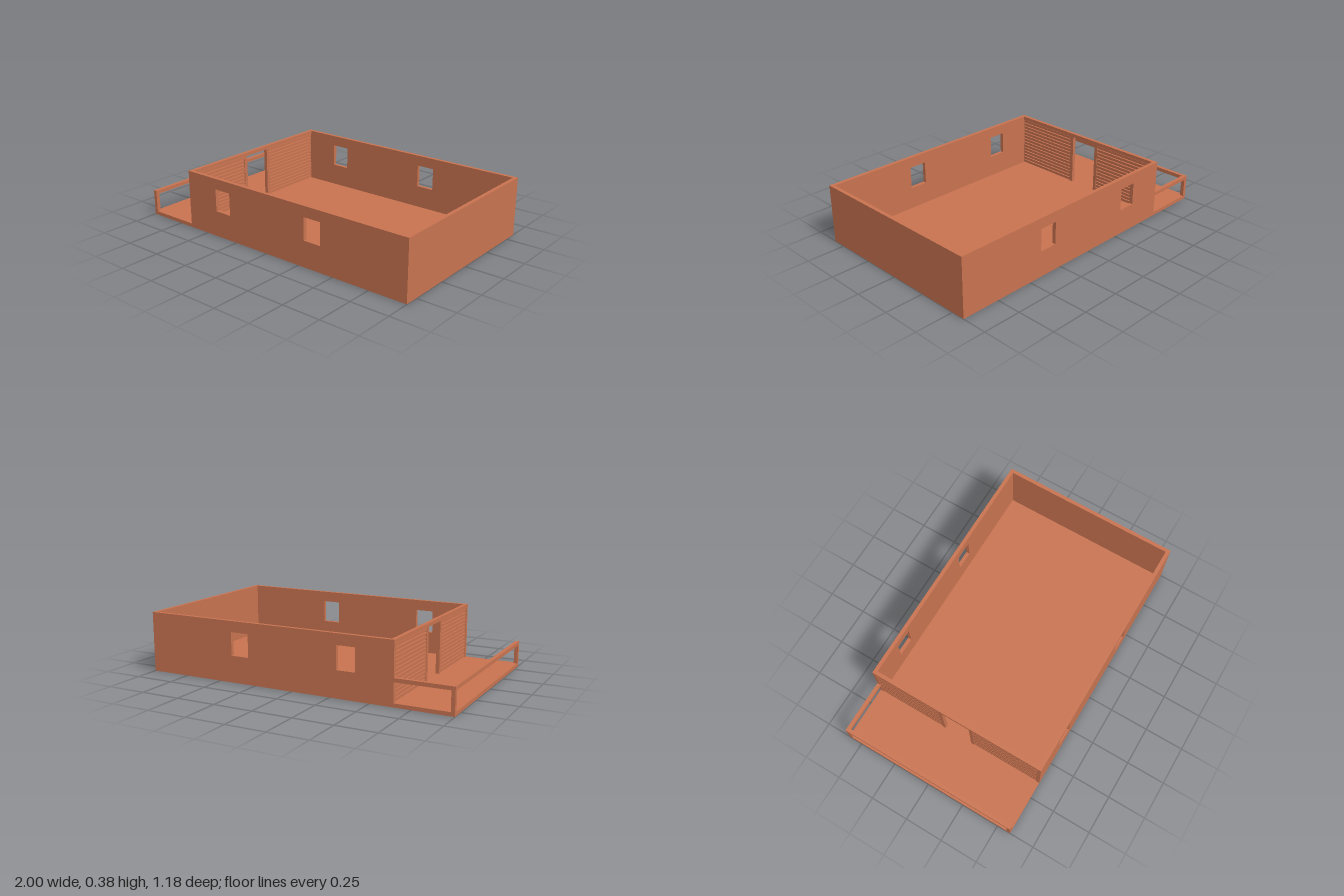
import * as THREE from 'three';

const T = 0.0235;              // wall, floor and beam thickness
const H = 0.378;               // total height
const D = 0.588;               // half depth
const HOUSE = -0.647;          // x where the porch meets the house
const RAIL = 0.166;            // top of porch railing
const DOOR = 0.118;            // half width of the doorway

const material = new THREE.MeshStandardMaterial({ color: 0xc87350 });

export function createModel() {
  const model = new THREE.Group();
  model.name = 'roofless house with porch';

  // Box given by its two opposite corners
  const box = (name, x0, x1, y0, y1, z0, z1, parent = model) => {
    const mesh = new THREE.Mesh(new THREE.BoxGeometry(x1 - x0, y1 - y0, z1 - z0), material);
    mesh.position.set((x0 + x1) / 2, (y0 + y1) / 2, (z0 + z1) / 2);
    mesh.name = name;
    parent.add(mesh);
  };

  const rectangle = (path, x0, x1, y0, y1) =>
    path.moveTo(x0, y0).lineTo(x1, y0).lineTo(x1, y1).lineTo(x0, y1).closePath();

  box('floor', -1, 1, 0, T, -D, D);

  // Long walls, each with two window openings
  const outline = rectangle(new THREE.Shape(), HOUSE, 1, T, H);
  for (const x of [-0.353, 0.353]) {
    outline.holes.push(rectangle(new THREE.Path(), x - 0.059, x + 0.059, 0.166, 0.31));
  }
  const wallGeometry = new THREE.ExtrudeGeometry(outline, { depth: T, bevelEnabled: false });
  for (const [name, z] of [['frontWall', D - T], ['backWall', -D]]) {
    const wall = new THREE.Mesh(wallGeometry, material);
    wall.position.z = z;
    wall.name = name;
    model.add(wall);
  }

  box('endWall', 1 - T, 1, T, H, -D + T, D - T);

  // Slatted wall between house and porch, with an open doorway
  const screen = new THREE.Group();
  screen.name = 'slattedWall';
  model.add(screen);
  const x0 = HOUSE, x1 = HOUSE + T;
  box('topBeam', x0, x1, H - T, H, -D + T, D - T, screen);
  const slats = 14;
  const pitch = (H - 2 * T) / slats;
  for (const side of [-1, 1]) {
    const span = (a, b) => (side > 0 ? [a, b] : [-b, -a]);
    box('doorPost', x0, x1, T, H - T, ...span(DOOR - T, DOOR), screen);
    for (let i = 0; i < slats; i++) {
      const y = T + i * pitch;
      box('slat', x0 + 0.003, x1 - 0.003, y + 0.003, y + pitch - 0.003, ...span(DOOR, D - T), screen);
    }
  }

  // Porch railing along the outer side and the back; the front stays open
  const railing = new THREE.Group();
  railing.name = 'porchRailing';
  model.add(railing);
  box('sideRail', -1, -1 + T, RAIL - T, RAIL, -D, D, railing);
  box('backRail', -1 + T, HOUSE, RAIL - T, RAIL, -D, -D + T, railing);
  box('frontPost', -1, -1 + T, T, RAIL - T, D - T, D, railing);
  box('backPost', -1, -1 + T, T, RAIL - T, -D, -D + T, railing);

  return model;
}
